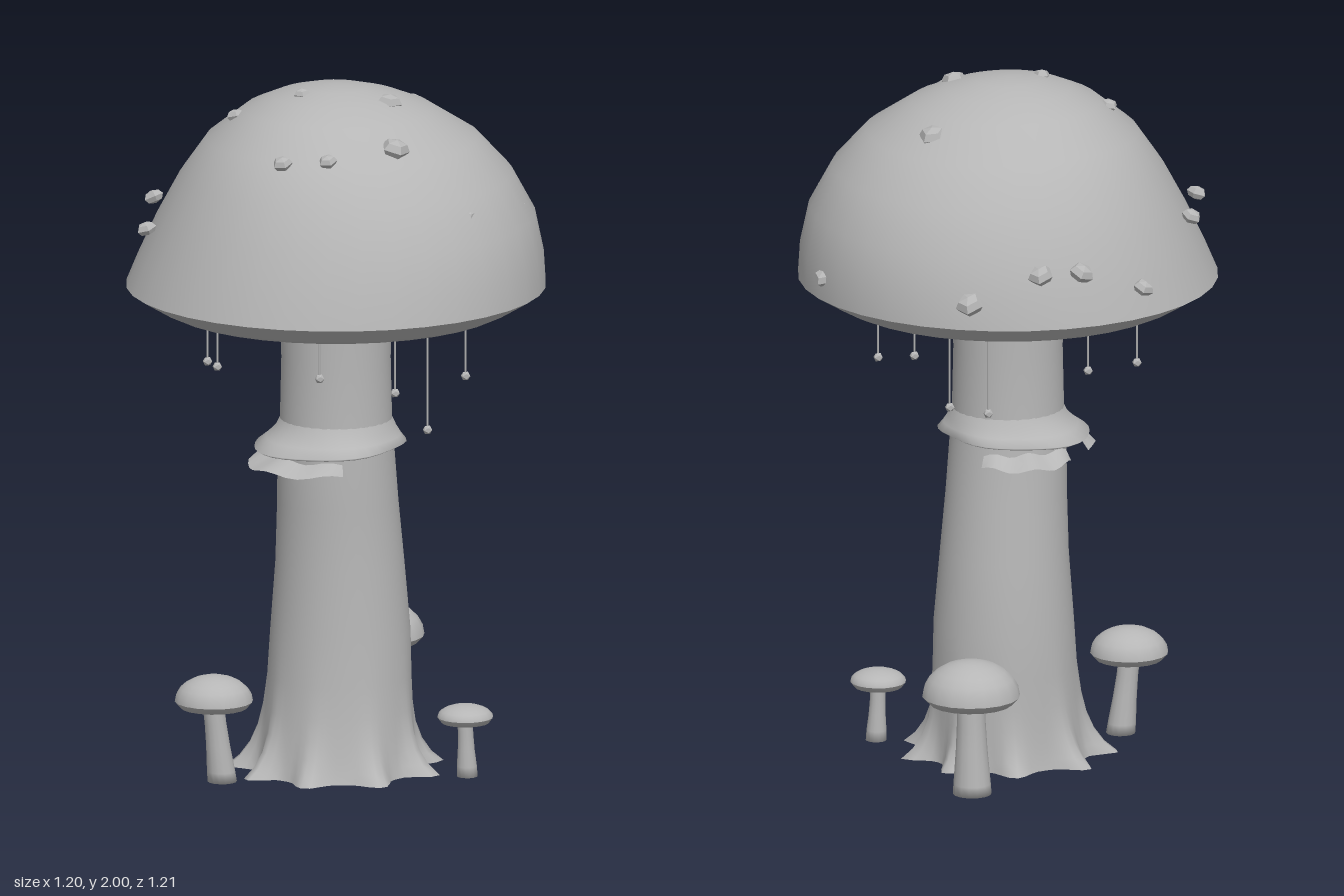
import * as THREE from 'three';
import { mergeVertices } from 'three/addons/utils/BufferGeometryUtils.js';

const clay = new THREE.MeshStandardMaterial({ color: 0xb6b6b6 });
clay.name = 'clay grey';
const clayThin = new THREE.MeshStandardMaterial({ color: 0xb6b6b6, side: THREE.DoubleSide });
clayThin.name = 'clay grey thin';

// Moves every vertex by a rule, then welds seams and smooths the normals
function reshape(geo, rule) {
  geo.deleteAttribute('uv');
  geo.deleteAttribute('normal');
  const p = geo.attributes.position;
  const v = new THREE.Vector3();
  for (let i = 0; i < p.count; i++) {
    v.fromBufferAttribute(p, i);
    if (rule) rule(v);
    p.setXYZ(i, v.x, v.y, v.z);
  }
  const out = mergeVertices(geo, 1e-4);
  out.computeVertexNormals();
  return out;
}

function lathe(points, segments, rule) {
  return reshape(new THREE.LatheGeometry(points.map(([r, y]) => new THREE.Vector2(r, y)), segments), rule);
}

function add(parent, name, geo, material = clay) {
  const mesh = new THREE.Mesh(geo, material);
  mesh.name = name;
  parent.add(mesh);
  return mesh;
}

// Faceted copy of a geometry
function faceted(geo) {
  const g = geo.index ? geo.toNonIndexed() : geo;
  g.computeVertexNormals();
  return g;
}

// Roots: nine pointed lobes that fade out up the stem
function rootFlare(v) {
  const a = Math.atan2(v.z, v.x);
  const lobe = Math.pow(0.5 + 0.5 * Math.cos(9 * a + 0.6 * Math.sin(2 * a)), 2);
  const fade = Math.exp(-v.y / 0.07);
  const k = 1 + (0.3 + 0.06 * Math.sin(a * 2 + 1)) * lobe * fade;
  v.x *= k;
  v.z *= k;
  // slight lean in the lower half
  const lean = 0.018 * Math.sin(Math.PI * Math.min(1, v.y / 0.9));
  v.x += lean;
  v.z -= lean;
}

// Slightly lopsided dome
function capRule(v) {
  const a = Math.atan2(v.z, v.x);
  const w = Math.sin(Math.PI * THREE.MathUtils.clamp((v.y - 1.42) / 0.58, 0, 1));
  v.x += 0.025 * w * Math.hypot(v.x, v.z) / 0.4;
  v.y += 0.006 * w * Math.sin(3 * a + 1);
}

function addStem(group) {
  add(group, 'stem', lathe([
    [0.235, 0], [0.228, 0.03], [0.222, 0.07], [0.216, 0.12], [0.211, 0.18], [0.205, 0.27], [0.2, 0.4],
    [0.184, 0.6], [0.173, 0.78], [0.167, 0.93], [0.16, 1.02], [0.156, 1.2], [0.158, 1.37],
  ], 72, rootFlare));
  add(group, 'stemBase', lathe([[0, 0], [0.12, 0], [0.235, 0]], 72, rootFlare));

  // Skirt around the stem, wider on one side
  add(group, 'skirt', lathe([
    [0.162, 0.945], [0.195, 0.945], [0.207, 0.952], [0.188, 0.975], [0.172, 1.0], [0.158, 1.03],
  ], 32, (v) => {
    const a = Math.atan2(v.z, v.x);
    const low = THREE.MathUtils.clamp((1.0 - v.y) / 0.05, 0, 1);
    const k = 1 + low * (0.05 - 0.11 * Math.cos(a) + 0.03 * Math.sin(5 * a));
    v.x *= k;
    v.z *= k;
    v.y += low * 0.008 * Math.cos(a);
  }), clayThin);
}

// Torn strip of skirt: an arc from angle a0 to a1 (degrees), tapering at the ends
function addTornStrip(group, a0, a1) {
  const geo = new THREE.PlaneGeometry(1, 1, 14, 2);
  add(group, 'tornStrip', reshape(geo, (v) => {
    const t = v.x + 0.5;
    const s = v.y;
    const a = THREE.MathUtils.degToRad(a0 + (a1 - a0) * t);
    const width = 0.02 + 0.05 * Math.sin(Math.PI * t);
    const r = 0.222 + 0.015 * Math.sin(Math.PI * t) + s * width;
    v.set(r * Math.cos(a), 0.932 - 0.03 * (s + 0.5) + 0.006 * Math.sin(t * 16), r * Math.sin(a));
  }), clayThin);
}

function addCap(group) {
  add(group, 'capDome', lathe([
    [0.6, 1.415], [0.58, 1.5], [0.54, 1.62], [0.475, 1.74], [0.39, 1.845],
    [0.27, 1.93], [0.18, 1.968], [0.09, 1.992], [0, 2],
  ], 36, capRule));
  add(group, 'capUnderside', lathe([
    [0.1, 1.362], [0.3, 1.36], [0.44, 1.352], [0.49, 1.353], [0.52, 1.367], [0.6, 1.415],
  ], 36));
}

// Squashed five-sided warts: x, y, z, radius
const warts = [
  [0.27, 1.89, -0.165, 0.042], [0.575, 1.48, -0.11, 0.035], [0.475, 1.66, 0.195, 0.038],
  [0.125, 1.965, 0.12, 0.038], [-0.11, 1.985, 0.035, 0.025], [-0.28, 1.91, -0.065, 0.027],
  [-0.46, 1.63, -0.295, 0.03], [-0.56, 1.61, 0, 0.03], [-0.24, 1.85, 0.305, 0.03],
  [-0.12, 1.86, 0.355, 0.028], [0.085, 1.88, 0.335, 0.043], [0.275, 1.69, 0.4, 0.038],
  [0.265, 1.49, -0.53, 0.042], [0.065, 1.57, -0.565, 0.038], [-0.055, 1.57, -0.57, 0.038],
  [-0.25, 1.5, -0.53, 0.032],
];

function addWarts(group) {
  const geo = faceted(new THREE.SphereGeometry(1, 5, 4));
  warts.forEach(([x, y, z, r], i) => {
    const wart = add(group, 'wart', geo);
    wart.position.set(x, y, z);
    wart.scale.set(r, r * 0.65, r);
    const tilt = 0.35 * Math.hypot(x, z) / 0.6;
    wart.rotation.set(tilt * Math.sign(z), i * 1.3, -tilt * Math.sign(x), 'XZY');
  });
}

// Hanging threads, each ending in a bead: x, y, z of the bead
const beads = [
  [-0.13, 1.22, -0.375], [-0.38, 1.22, 0.11], [-0.335, 1.17, -0.165], [-0.105, 1.19, 0.21],
  [0.175, 1.125, -0.405], [0.16, 1.07, 0.41], [0.2, 1.06, -0.095], [0.345, 1.155, 0.14],
];

function addThreads(group) {
  const beadGeo = faceted(new THREE.IcosahedronGeometry(0.014, 0));
  for (const [x, y, z] of beads) {
    const h = 1.365 - y;
    add(group, 'thread', new THREE.CylinderGeometry(0.003, 0.003, h, 5)).position.set(x, y + h / 2, z);
    add(group, 'bead', beadGeo).position.set(x, y, z);
  }
}

// Small mushroom: position, cap radius, heights of underside, rim and top, stem radius, lean of the foot
function addSmallMushroom(group, { x, z, r, under, rim, top, stem, lean }) {
  const g = new THREE.Group();
  g.name = 'smallMushroom';
  g.position.set(x, 0, z);
  const dome = [[r, rim]];
  for (let i = 1; i <= 6; i++) {
    const a = (i / 6) * Math.PI / 2;
    dome.push([i === 6 ? 0 : r * Math.cos(a), rim + (top - rim) * Math.sin(a)]);
  }
  add(g, 'smallCap', lathe(dome, 18));
  add(g, 'smallCapUnderside', lathe([[0, under + 0.01], [r * 0.5, under], [r * 0.85, under + 0.003], [r, rim]], 18));
  add(g, 'smallStem', lathe([
    [0, 0], [stem * 1.35, 0], [stem * 1.3, 0.03], [stem * 1.1, under * 0.5], [stem, under * 0.8], [stem, under + 0.012],
  ], 14, (v) => {
    const k = 1 - v.y / under;
    v.x += lean[0] * k;
    v.z += lean[1] * k;
  }));
  group.add(g);
}

export function createModel() {
  const group = new THREE.Group();
  group.name = 'mushroomCluster';
  addStem(group);
  addTornStrip(group, 100, 205);
  addTornStrip(group, 235, 305);
  addCap(group);
  addWarts(group);
  addThreads(group);
  addSmallMushroom(group, { x: -0.385, z: 0.09, r: 0.112, under: 0.215, rim: 0.237, top: 0.312, stem: 0.031, lean: [0.025, 0] });
  addSmallMushroom(group, { x: 0.22, z: -0.385, r: 0.14, under: 0.262, rim: 0.287, top: 0.39, stem: 0.041, lean: [0, -0.012] });
  addSmallMushroom(group, { x: 0.325, z: 0.21, r: 0.08, under: 0.155, rim: 0.174, top: 0.21, stem: 0.022, lean: [0.006, 0] });
  return group;
}
